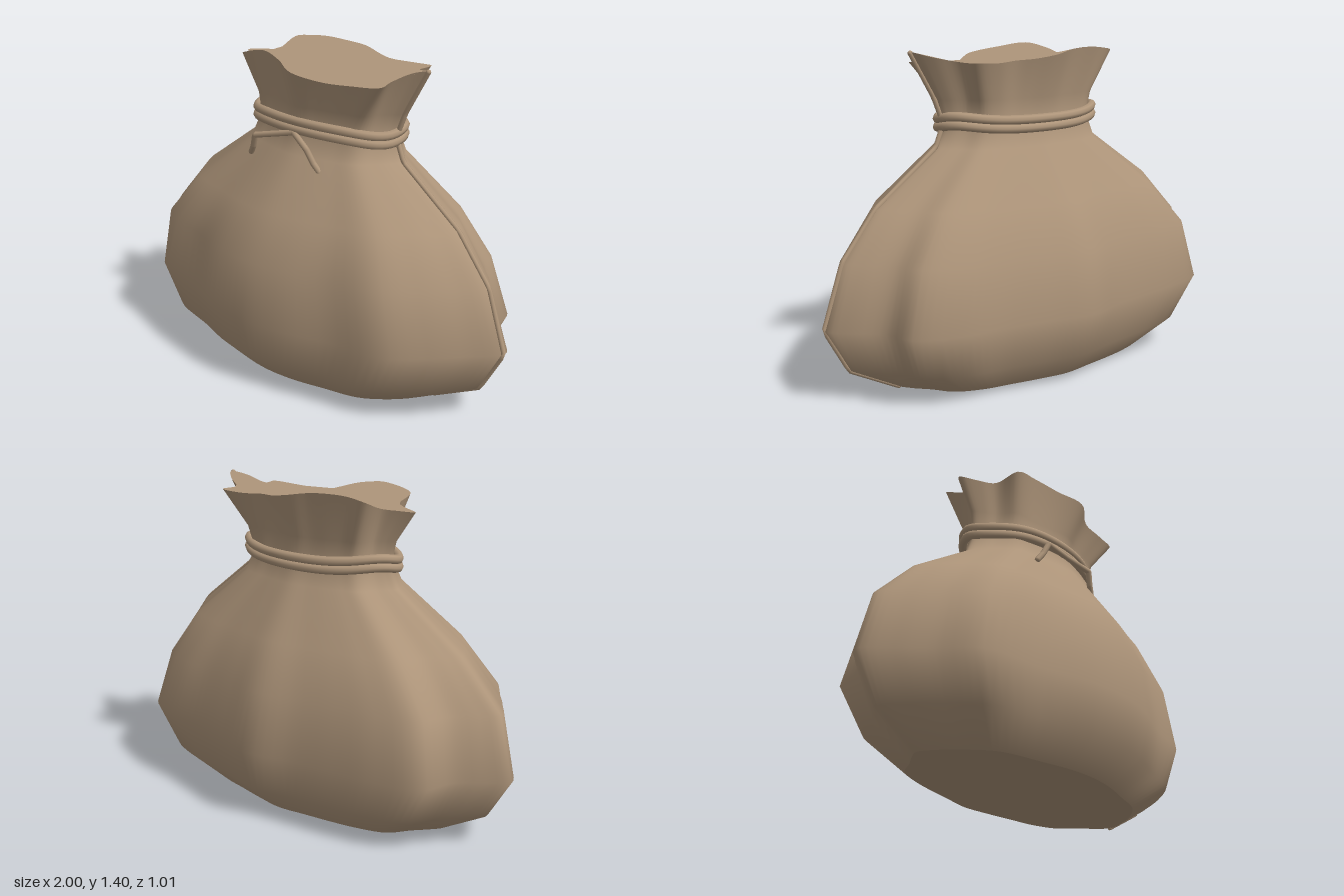
import * as THREE from 'three';

// Horizontal outline of the full belly: [x, z], from -x round the back to +x and the front
const BELLY = [
  [-1, -.04], [-.93, -.11], [-.83, -.2], [-.78, -.34], [-.6, -.4], [-.4, -.43], [-.2, -.46],
  [0, -.51], [.2, -.47], [.4, -.43], [.6, -.41], [.78, -.33], [.82, -.2], [.93, -.1],
  [.99, -.02], [.9, .1], [.8, .22], [.66, .35], [.42, .4], [.2, .47], [0, .5],
  [-.2, .48], [-.42, .41], [-.72, .34], [-.83, .19], [-.92, .08],
];
// Ruffled mouth with matching points: [x, z, y]
const MOUTH = [
  [-.48, -.01, 1.33], [-.42, -.05, 1.335], [-.36, -.08, 1.34], [-.36, -.19, 1.38], [-.28, -.2, 1.395],
  [-.19, -.22, 1.4], [-.1, -.235, 1.395], [0, -.265, 1.38], [.1, -.24, 1.365], [.18, -.215, 1.36],
  [.28, -.23, 1.355], [.4, -.23, 1.36], [.41, -.14, 1.36], [.5, -.08, 1.38], [.56, -.02, 1.4],
  [.5, .02, 1.385], [.44, .07, 1.35], [.46, .16, 1.345], [.33, .19, 1.335], [.18, .21, 1.33],
  [.07, .265, 1.36], [-.05, .215, 1.385], [-.18, .18, 1.4], [-.31, .18, 1.37], [-.33, .08, 1.34],
  [-.4, .04, 1.33],
];
// Rings: y, min x, max x, min z, max z, share of the mouth outline, roundness
const RINGS = [
  [.01, -.67, .65, -.33, .34, 0, .5], [.13, -.88, .88, -.45, .46, 0, .3],
  [.32, -1, .99, -.51, .505, 0, 0], [.58, -.93, .9, -.46, .475, 0, .15],
  [.78, -.73, .74, -.37, .38, .1, .4], [1, -.4, .44, -.23, .23, .3, .6],
  [1.1, -.36, .4, -.2, .185, .5, .7], [1.2, -.385, .44, -.205, .2, .75, .3],
  [1.37, -.48, .56, -.265, .265, 1, 0],
];
const SEGMENTS = BELLY.length * 5;
const { lerp } = THREE.MathUtils;

// Scale an outline to the range -1..1 on both axes
function normalise(points) {
  const fit = (k) => {
    const v = points.map((p) => p[k]);
    const lo = Math.min(...v), hi = Math.max(...v);
    return v.map((n) => ((n - lo) / (hi - lo)) * 2 - 1);
  };
  const xs = fit(0), zs = fit(1);
  return points.map((p, i) => [xs[i], zs[i]]);
}

function makeRings() {
  const belly = normalise(BELLY), mouth = normalise(MOUTH);
  return RINGS.map(([y, x0, x1, z0, z1, mix, round], r) => {
    const top = r === RINGS.length - 1;
    const points = belly.map((b, i) => {
      const p = new THREE.Vector2(lerp(b[0], mouth[i][0], mix), lerp(b[1], mouth[i][1], mix));
      p.lerp(p.clone().normalize(), round);
      return new THREE.Vector3(
        lerp(x0, x1, (p.x + 1) / 2), top ? MOUTH[i][2] : y, lerp(z0, z1, (p.y + 1) / 2));
    });
    return new THREE.CatmullRomCurve3(points, true).getPoints(SEGMENTS).slice(0, SEGMENTS);
  });
}

function wallGeometry(rings) {
  const index = [];
  for (let r = 0; r < rings.length - 1; r++) {
    for (let i = 0; i < SEGMENTS; i++) {
      const a = r * SEGMENTS + i, b = r * SEGMENTS + (i + 1) % SEGMENTS;
      index.push(a, a + SEGMENTS, b, b, a + SEGMENTS, b + SEGMENTS);
    }
  }
  const geometry = new THREE.BufferGeometry().setFromPoints(rings.flat());
  geometry.setIndex(index);
  geometry.computeVertexNormals();
  return geometry;
}

// Evenly shaded lid across one ring, facing up (1) or down (-1)
function capGeometry(ring, facing) {
  const faces = THREE.ShapeUtils.triangulateShape(ring.map((p) => new THREE.Vector2(p.x, -p.z)), []);
  const geometry = new THREE.BufferGeometry().setFromPoints(ring);
  geometry.setIndex(faces.flatMap(([a, b, c]) => (facing > 0 ? [a, b, c] : [a, c, b])));
  const normals = ring.flatMap(() => [0, facing, 0]);
  geometry.setAttribute('normal', new THREE.Float32BufferAttribute(normals, 3));
  return geometry;
}

// Cord with straight runs and closed ends
function addCord(group, name, points, radius, material) {
  const path = new THREE.CurvePath();
  const v = points.map((p) => new THREE.Vector3(...p));
  for (let i = 1; i < v.length; i++) path.add(new THREE.LineCurve3(v[i - 1], v[i]));
  const cord = new THREE.Mesh(new THREE.TubeGeometry(path, 64, radius, 8), material);
  cord.name = name;
  group.add(cord);
  for (const end of [v[0], v[v.length - 1]]) {
    const tip = new THREE.Mesh(new THREE.SphereGeometry(radius, 8, 6), material);
    tip.name = name + 'End';
    tip.position.copy(end);
    group.add(tip);
  }
}

export function createModel() {
  const group = new THREE.Group();
  group.name = 'tiedSack';
  const cloth = new THREE.MeshStandardMaterial({ color: 0xae957a });
  cloth.name = 'tan cloth';
  const add = (name, geometry) => {
    const mesh = new THREE.Mesh(geometry, cloth);
    mesh.name = name;
    group.add(mesh);
  };

  // Sack body, flat base and filled mouth
  const rings = makeRings();
  add('sackBody', wallGeometry(rings));
  add('sackBase', capGeometry(rings[0], -1));
  add('sackMouth', capGeometry(rings[rings.length - 1], 1));

  // Two wavy rope coils round the neck
  for (const y of [1.087, 1.123]) {
    const points = [];
    for (let i = 0; i < 32; i++) {
      const a = (i / 32) * Math.PI * 2, s = Math.sin(a);
      points.push(new THREE.Vector3(
        .02 + .392 * Math.cos(a), y - .01 * Math.sin(s * 4.5), -.012 + .203 * s));
    }
    const loop = new THREE.CatmullRomCurve3(points, true);
    add('neckRope', new THREE.TubeGeometry(loop, 96, .02, 8, true));
  }

  // Loose rope ends at the front
  for (const side of [-1, 1]) {
    addCord(group, 'ropeEnd', [
      [.02, 1.085, .2], [-.015 + side * .155, 1.045, .245], [-.015 + side * .18, .99, .232],
      [-.015 + side * .205, .955, .222],
    ], .013, cloth);
  }

  // Raised seam down the left side
  addCord(group, 'sideSeam', [
    [.56, 1.395, -.01], [.45, 1.21, -.01], [.405, 1.1, -.01], [.445, 1, -.01], [.74, .78, -.01],
    [.9, .58, -.01], [.988, .32, -.01], [.88, .13, -.01], [.65, .012, -.01],
  ], .011, cloth);

  return group;
}
